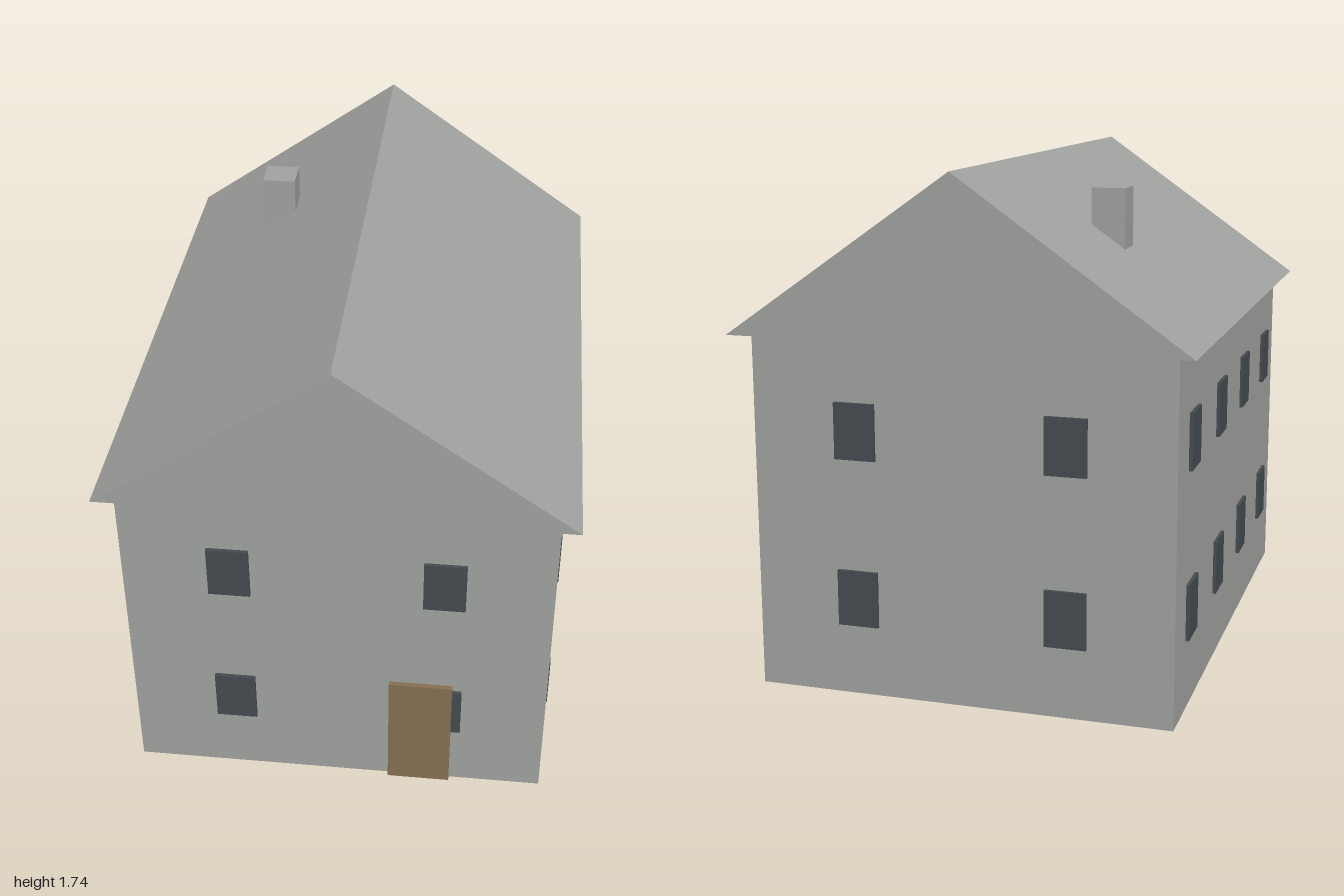
import * as THREE from 'three';

export function createModel() {
  const house = new THREE.Group();
  house.name = 'house';

  const plaster = new THREE.MeshStandardMaterial({ name: 'grey plaster', color: 0xa0a29f });
  const glass = new THREE.MeshStandardMaterial({ name: 'dark glass', color: 0x444b4f });
  const wood = new THREE.MeshStandardMaterial({ name: 'brown wood', color: 0x856e53 });

  const add = (name, geometry, material, x, y, z, parent = house) => {
    const mesh = new THREE.Mesh(geometry, material);
    mesh.name = name;
    mesh.position.set(x, y, z);
    parent.add(mesh);
    return mesh;
  };

  // Main block
  const halfW = 0.705, halfD = 0.94, wallH = 1.2;
  add('walls', new THREE.BoxGeometry(halfW * 2, wallH, halfD * 2), plaster, 0, wallH / 2, 0);

  // Gabled roof, a solid prism overhanging the walls
  const gable = new THREE.Shape();
  gable.moveTo(-0.765, 0);
  gable.lineTo(0.765, 0);
  gable.lineTo(0, 0.537);
  gable.closePath();
  const roof = new THREE.ExtrudeGeometry(gable, { depth: 2, bevelEnabled: false });
  add('roof', roof, plaster, 0, wallH, -1);

  // Chimney on the right slope
  add('chimney', new THREE.BoxGeometry(0.115, 0.25, 0.115), plaster, -0.353, 1.525, -0.38);

  // Windows on two floors, standing slightly proud of every wall
  const windows = new THREE.Group();
  windows.name = 'windows';
  house.add(windows);
  const paneW = 0.138, paneH = 0.188, paneT = 0.024;
  const endPane = new THREE.BoxGeometry(paneW, paneH, paneT);
  const sidePane = new THREE.BoxGeometry(paneT, paneH, paneW);
  for (const y of [0.333, 0.896]) {
    for (const side of [-1, 1]) {
      for (const x of [-0.352, 0.352]) {
        add(side > 0 ? 'frontWindow' : 'backWindow', endPane, glass, x, y, side * halfD, windows);
      }
      for (const z of [-0.705, -0.235, 0.235, 0.705]) {
        add(side > 0 ? 'leftWindow' : 'rightWindow', sidePane, glass, side * halfW, y, z, windows);
      }
    }
  }

  // Front door, overlapping one ground-floor window
  add('door', new THREE.BoxGeometry(0.214, 0.45, 0.034), wood, 0.282, 0.225, halfD);

  return house;
}
